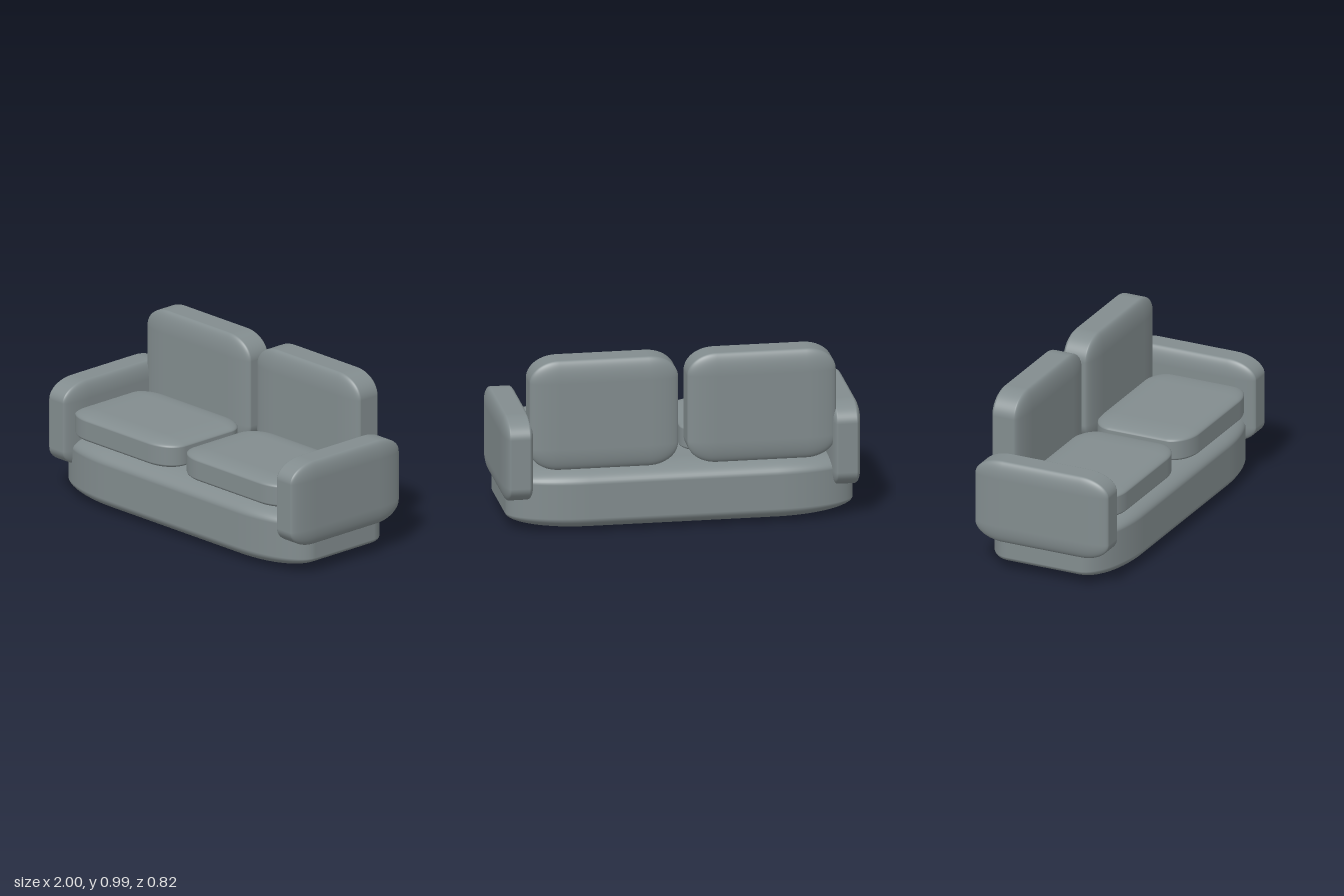
import * as THREE from 'three';
import { RoundedBoxGeometry } from 'three/addons/geometries/RoundedBoxGeometry.js';

export function createModel() {
  const sofa = new THREE.Group();
  sofa.name = 'sofa';
  const fabric = new THREE.MeshStandardMaterial({ color: 0x828c8e });
  fabric.name = 'greyFabric';

  // Soft block between two corners; its rounding stretches with each dimension
  function pad(name, min, max, rounding = 0.21) {
    const size = max.map((v, i) => v - min[i]);
    const geometry = new RoundedBoxGeometry(1, 1, 1, 8, rounding);
    geometry.scale(...size);
    const mesh = new THREE.Mesh(geometry, fabric);
    mesh.name = name;
    mesh.position.set(...max.map((v, i) => (v + min[i]) / 2));
    sofa.add(mesh);
  }

  // Full-width upholstered base
  pad('base', [-0.97, 0, -0.41], [0.97, 0.36, 0.41], 0.23);

  // Mirrored pairs; the model's left is +x
  for (const [side, s] of [['left', 1], ['right', -1]]) {
    const pair = (name, x0, x1, y0, y1, z0, z1, rounding) =>
      pad(side + name, [Math.min(s * x0, s * x1), y0, z0], [Math.max(s * x0, s * x1), y1, z1], rounding);
    pair('Arm', 0.825, 1, 0.17, 0.655, -0.41, 0.41);
    pair('SeatCushion', 0.025, 0.87, 0.35, 0.52, -0.21, 0.39);
    pair('BackCushion', 0.025, 0.855, 0.355, 0.985, -0.39, -0.193, 0.2);
  }
  return sofa;
}
